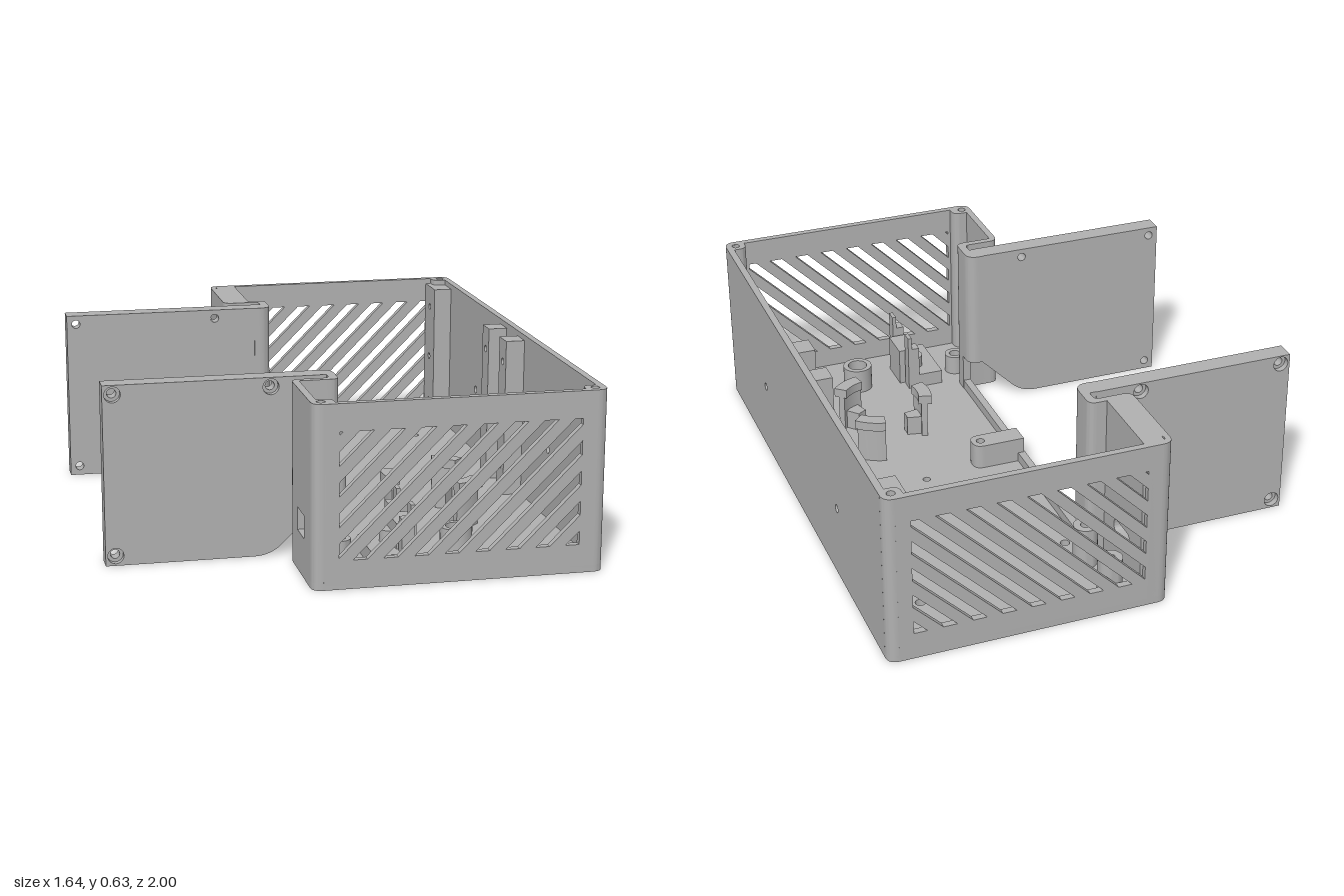
import * as THREE from 'three';
import { toCreasedNormals } from 'three/addons/utils/BufferGeometryUtils.js';

const H = 0.635, T = 0.025; // wall height, wall thickness

export function createModel() {
  const model = new THREE.Group();
  const grey = new THREE.MeshStandardMaterial({ color: 0xb1b1b1 });
  grey.name = 'printed grey';

  const add = (name, geo) => {
    const mesh = new THREE.Mesh(toCreasedNormals(geo, 0.6), grey);
    mesh.name = name;
    model.add(mesh);
    return mesh;
  };

  // closed outline from [x, y, cornerRadius?]
  const trace = (pts, path = new THREE.Shape()) => {
    const n = pts.length;
    const toward = (p, q, r) => {
      const d = Math.hypot(q[0] - p[0], q[1] - p[1]) || 1;
      return [p[0] + (q[0] - p[0]) * r / d, p[1] + (q[1] - p[1]) * r / d];
    };
    pts.forEach((p, i) => {
      const r = p[2] || 0;
      const a = toward(p, pts[(i + n - 1) % n], r), b = toward(p, pts[(i + 1) % n], r);
      if (i) path.lineTo(...a); else path.moveTo(...a);
      if (r) path.quadraticCurveTo(p[0], p[1], ...b);
    });
    path.closePath();
    return path;
  };
  const rect = (x0, y0, x1, y1, r = 0) => [[x0, y0, r], [x1, y0, r], [x1, y1, r], [x0, y1, r]];
  const hole = (x, y, r) => new THREE.Path().absarc(x, y, r, 0, Math.PI * 2, false);
  const extrude = (pts, depth, holes = []) => {
    const shape = trace(pts);
    shape.holes.push(...holes);
    return new THREE.ExtrudeGeometry(shape, { depth, bevelEnabled: false, curveSegments: 10 });
  };
  // upright prism over a plan outline of [x, z, r]; holes are [x, z, r]
  const plan = (name, pts, y0, y1, holes = []) =>
    add(name, extrude(pts.map(([x, z, r]) => [x, -z, r]), y1 - y0, holes.map(([x, z, r]) => hole(x, -z, r)))
      .rotateX(-Math.PI / 2).translate(0, y0, 0));
  // panel facing x, drawn in (z, y), from x0 to x1
  const sidePanel = (name, pts, x0, x1, holes) =>
    add(name, extrude(pts, x1 - x0, holes).rotateY(-Math.PI / 2).translate(x1, 0, 0));
  // panel facing z, drawn in (x, y), from z0 to z1
  const frontPanel = (name, pts, z0, z1, holes) =>
    add(name, extrude(pts, z1 - z0, holes).translate(0, 0, z0));

  const corners = [];
  for (const x of [-0.155, 0.782]) for (const z of [-0.962, 0.962]) corners.push([x, z, 0.015]);

  // floor with the recessed left edge
  const edge = s => [[-0.19, s, 0.04], [-0.19, s * 0.645, 0.035], [-0.055, s * 0.645, 0.02], [-0.055, s * 0.6]];
  plan('floor', [...edge(-1), ...edge(1).reverse(), [0.82, 1, 0.04], [0.82, -1, 0.04]], 0, T, [
    ...corners, [0.62, -0.74, 0.018], [0.02, -0.58, 0.017], [0.34, 0, 0.014], [0.55, 0.77, 0.016],
    [0.365, 0.77, 0.037], [-0.045, 0.76, 0.022]]);
  plan('sill', rect(-0.055, -0.62, -0.027, 0.62), 0.01, 0.06);

  // diagonal ventilation slots, each a slanted strip clipped to the grille window
  const clip = (pts, f) => pts.flatMap((p, i) => {
    const q = pts[(i + 1) % pts.length], a = f(p), b = f(q), out = [];
    if (a >= 0) out.push(p);
    if (a * b < 0) out.push([p[0] + (q[0] - p[0]) * a / (a - b), p[1] + (q[1] - p[1]) * a / (a - b)]);
    return out;
  });
  const slots = () => {
    const list = [];
    for (let k = 0; k < 13; k++) {
      const c = 0.582 - 0.105 * k;
      let p = clip(rect(-0.1, 0.1, 0.73, 0.54), ([x, y]) => x - y - c);
      p = clip(p, ([x, y]) => c + 0.0495 - x + y);
      if (p.length > 2) list.push(trace(p, new THREE.Path()));
    }
    return list;
  };
  frontPanel('frontGrille', rect(-0.152, T, 0.782, H), 1 - T, 1, slots());
  frontPanel('backGrille', rect(-0.152, T, 0.782, H), -1, -1 + T, slots());

  // long side wall
  sidePanel('sideWall', rect(-0.962, T, 0.962, H), 0.82 - T, 0.82,
    [hole(0.455, 0.28, 0.015), hole(-0.455, 0.28, 0.015)]);

  for (const s of [-1, 1]) {
    const side = s > 0 ? 'front' : 'back';
    // screw posts in the corners
    plan(side + 'RightPost', [[0.82, s, 0.04], [0.82, s * 0.93], [0.745, s * 0.93, 0.03], [0.745, s]],
      T, H, corners.filter(c => c[0] > 0 && c[1] * s > 0));
    plan(side + 'LeftPost', [[-0.19, s, 0.04], [-0.19, s * 0.93], [-0.11, s * 0.93, 0.03], [-0.11, s]],
      T, H, corners.filter(c => c[0] < 0 && c[1] * s > 0));

    // short left wall turning into the flange
    const inner = s > 0 ? -0.165 : -0.09;
    plan(side + 'ReturnWall', [[-0.19, s * 0.69], [-0.19, s * 0.645, 0.035], [-0.055, s * 0.645, 0.02],
      [-0.055, s * 0.6], [-0.025, s * 0.6], [-0.025, s * 0.67, 0.03], [inner, s * 0.67], [inner, s * 0.69]], T, H);
    plan(side + 'FlangeBend', [[-0.09, s * 0.53], [-0.025, s * 0.53, 0.045], [-0.025, s * 0.605],
      [-0.055, s * 0.605], [-0.055, s * 0.6], [-0.09, s * 0.6]], 0.17, H);

    // mounting flange, the outer layer with wider screw recesses
    const outline = [[-0.825, 0], [-0.25, 0, 0.06], [-0.08, 0.17], [-0.08, H], [-0.825, H]];
    const screws = r => [[-0.79, 0.602], [-0.248, 0.602], [-0.79, 0.035]].map(([x, y]) => hole(x, y, r));
    const layer = (name, a, b, r) =>
      frontPanel(name, outline, Math.min(s * a, s * b), Math.max(s * a, s * b), screws(r));
    layer(side + 'Flange', 0.532, 0.58, 0.016);
    layer(side + 'FlangeFace', 0.58, 0.602, 0.028);
  }

  // short left walls with cable openings
  sidePanel('backLeftWall', rect(-0.94, T, -0.685, H), -0.19, -0.165,
    [trace(rect(-0.91, 0.155, -0.73, 0.225, 0.034), new THREE.Path())]);
  sidePanel('backLeftBlock', rect(-0.98, T, -0.685, H), -0.165, -0.09,
    [trace(rect(-0.885, 0.165, -0.755, 0.215, 0.024), new THREE.Path())]);
  sidePanel('frontLeftWall', rect(0.685, T, 0.94, H), -0.19, -0.165,
    [trace(rect(0.76, 0.14, 0.87, 0.22), new THREE.Path())]);
  plan('cableRest', rect(-0.17, 0.765, -0.1, 0.83), T, 0.13);

  // ribs on the side wall with screw holes
  for (const [a, b] of [[-0.145, -0.065], [0.07, 0.155], [-0.98, -0.835]]) {
    const c = (a + b) / 2;
    sidePanel('wallRib', rect(a, T, b, 0.615), 0.725, 0.797,
      [0.13, 0.32, 0.53].map(y => hole(c, y, 0.013)));
  }

  // round standoffs: x, z, radius, bore, top
  for (const [x, z, r, bore, top] of [[0, -0.93, 0.044, 0.018, 0.18], [0, -0.715, 0.044, 0.018, 0.18],
    [0.365, 0.77, 0.056, 0.037, 0.12], [-0.045, 0.76, 0.04, 0.022, 0.1]]) {
    const profile = [[bore, T], [r, T], [r, top], [bore, top], [bore, T]].map(p => new THREE.Vector2(...p));
    add('standoff', new THREE.LatheGeometry(profile, 28).translate(x, 0, z));
  }

  // strap tab at the open edge
  plan('strapTab', [[-0.05, 0], [0.145, 0, 0.038], [0.145, 0.082, 0.038], [-0.05, 0.082]], T, 0.12,
    [[0.11, 0.041, 0.016]]);

  // three curved clips around a round seat
  const arc = (r0, r1, mid, half) => {
    const pts = [];
    for (let i = 0; i <= 8; i++) pts.push([r1, mid - half + half * i / 4]);
    for (let i = 8; i >= 0; i--) pts.push([r0, mid - half + half * i / 4]);
    return pts.map(([r, a]) => [0.4 + r * Math.cos(a), 0.355 + r * Math.sin(a)]);
  };
  for (const a of [Math.PI, Math.PI / 3, -Math.PI / 3]) {
    plan('clipWall', arc(0.155, 0.178, a, 0.31), T, 0.17);
    plan('clipLip', arc(0.145, 0.195, a, 0.31), 0.165, 0.2);
    plan('clipRib', arc(0.1, 0.16, a, 0.2), T, 0.1);
  }

  // switch holder
  plan('switchBase', rect(0.04, 0.675, 0.135, 0.915), T, 0.08);
  plan('switchBlock', rect(0.13, 0.73, 0.2, 0.86), T, 0.17);
  for (const z of [0.675, 0.87]) {
    plan('switchPost', rect(0.135, z, 0.18, z + 0.045), T, 0.2);
    plan('switchHook', rect(0.165, z, 0.18, z + 0.045), 0.2, 0.25);
  }
  add('switchButton', new THREE.CylinderGeometry(0.035, 0.035, 0.1, 24).translate(0.13, 0.075, 0.765));

  return model;
}
